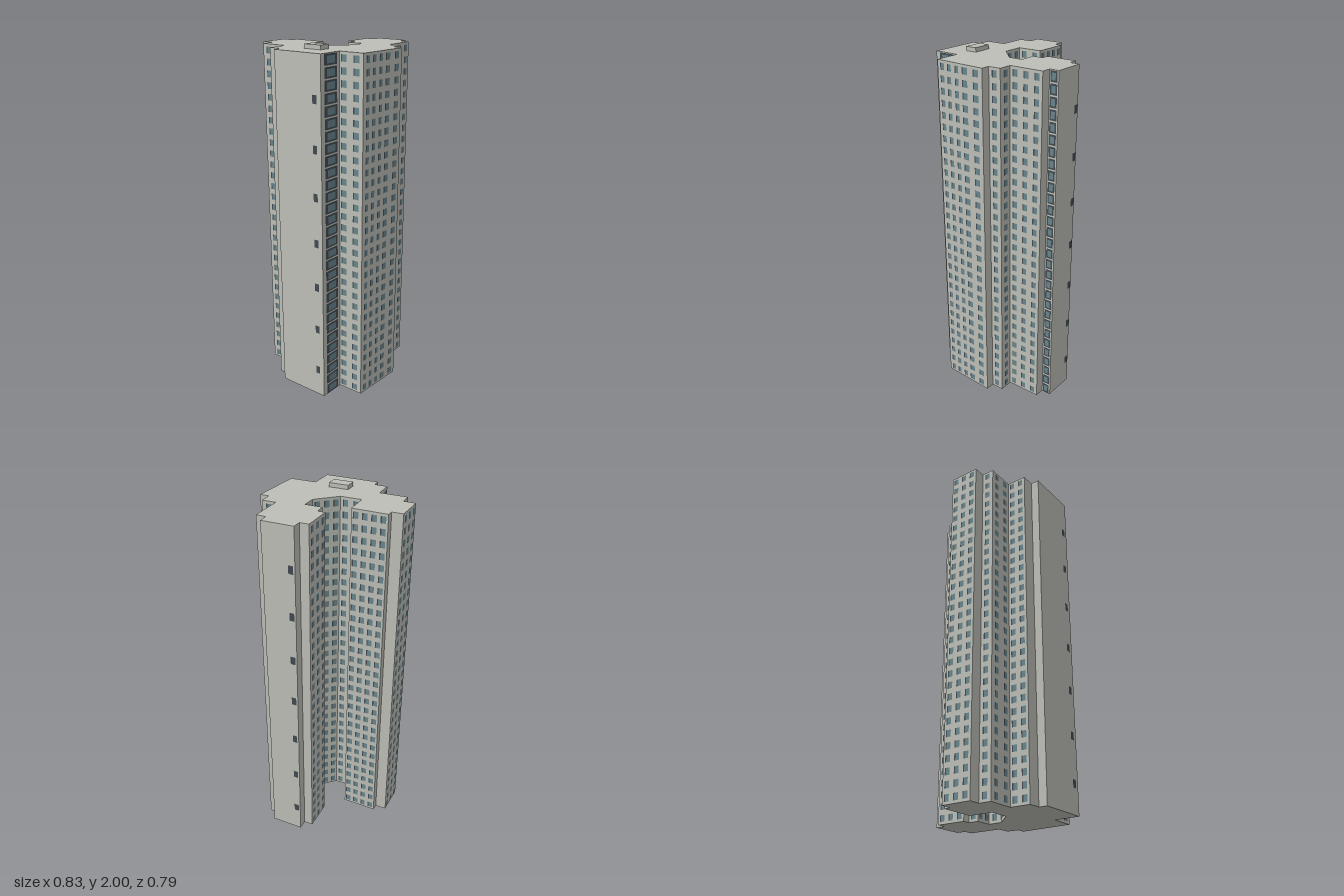
import * as THREE from 'three';
import { mergeGeometries } from 'three/addons/utils/BufferGeometryUtils.js';

const HEIGHT = 1.976, FLOORS = 30, STOREY = HEIGHT / FLOORS;

// Plan outline as [x, z] corners, clockwise seen from above
const PLAN = [
  [-0.236, -0.395], [-0.2, -0.343], [-0.168, -0.362], [-0.058, -0.192], [-0.175, -0.112],
  [-0.107, -0.01], [0.045, 0.022], [0.115, -0.023], [0.06, -0.107], [0.11, -0.141],
  [0.087, -0.178], [0.237, -0.277], [0.266, -0.234], [0.312, -0.264], [0.414, -0.11],
  [0.368, -0.079], [0.398, -0.031], [0.23, 0.081], [0.275, 0.148], [0.214, 0.189],
  [0.243, 0.233], [-0.032, 0.393], [-0.117, 0.267], [-0.243, 0.348], [-0.414, 0.088],
  [-0.374, 0.061], [-0.414, -0.003], [-0.318, -0.068], [-0.406, -0.202], [-0.347, -0.243],
  [-0.384, -0.3],
];

// Window columns per wall: wall index -> [position along wall 0..1, width]
const W = 0.03;
const evenly = (n) => Array.from({ length: n }, (_, i) => [(i + 0.5) / n, W]);
const WINDOWS = {
  2: evenly(4), 3: evenly(2), 4: evenly(2), 5: evenly(3), 6: evenly(1), 7: evenly(2),
  8: evenly(1), 10: evenly(3), 16: evenly(3), 17: evenly(1), 18: evenly(1),
  20: [[0.14, 0.036], [0.38, 0.036], [0.56, 0.026], [0.73, 0.026], [0.89, 0.026]],
  21: [[0.28, 0.036], [0.8, 0.036]], 26: evenly(2), 27: evenly(2), 28: evenly(1), 30: evenly(3),
};
// Glazed balcony strips: wall index -> [position, panel width, pane width]
const BALCONIES = { 14: [0.5, 0.042, 0.024], 22: [0.48, 0.102, 0.064] };
// Blank walls with one stair window every fourth floor
const STAIRS = { 13: 0.12, 23: 0.13 };

const material = (name, color) => {
  const m = new THREE.MeshStandardMaterial({ color });
  m.name = name;
  return m;
};

// Vertical extrusion of an [x, z] outline
function prism(points, height) {
  const shape = new THREE.Shape(points.map(([x, z]) => new THREE.Vector2(x, -z)));
  return new THREE.ExtrudeGeometry(shape, { depth: height, bevelEnabled: false }).rotateX(-Math.PI / 2);
}

// Flat plate lying on a wall; shift moves it sideways along the wall
function plate(wall, t, y, w, h, offset, shift = 0) {
  const [ax, az] = PLAN[wall], [bx, bz] = PLAN[(wall + 1) % PLAN.length];
  const len = Math.hypot(bx - ax, bz - az);
  const dx = (bx - ax) / len, dz = (bz - az) / len;
  const s = t * len + shift;
  return new THREE.PlaneGeometry(w, h)
    .rotateY(Math.atan2(dz, -dx))
    .translate(ax + dx * s + dz * offset, y, az + dz * s - dx * offset);
}

export function createModel() {
  const group = new THREE.Group();
  const concrete = material('concrete', 0xbcbeb6);
  const glass = material('window glass', 0x67848c);
  const dark = material('dark frame', 0x414a50);

  const add = (name, geometry, mat) => {
    const mesh = new THREE.Mesh(geometry, mat);
    mesh.name = name;
    group.add(mesh);
  };

  // Tower and roof hut
  add('tower', prism(PLAN, HEIGHT), concrete);
  const hut = prism([[-0.2, 0.06], [-0.136, 0.154], [-0.193, 0.192], [-0.256, 0.097]], 2 - HEIGHT);
  add('roofHut', hut.translate(0, HEIGHT, 0), concrete);

  const panes = [], jambs = [], balconyPanels = [], balconyPanes = [], stairWindows = [];
  for (let f = 0; f < FLOORS; f++) {
    const y = (f + 0.5) * STOREY;
    // Regular windows with a dark jamb along one side
    for (const [wall, columns] of Object.entries(WINDOWS)) {
      for (const [t, w] of columns) {
        panes.push(plate(+wall, t, y, w, 0.037, 0.002));
        jambs.push(plate(+wall, t, y, 0.007, 0.037, 0.003, w / 2 - 0.0035));
      }
    }
    // Balcony strips, with the floor slabs left showing between panels
    for (const [wall, [t, w, paneW]] of Object.entries(BALCONIES)) {
      balconyPanels.push(plate(+wall, t, y, w, STOREY - 0.008, 0.002));
      balconyPanes.push(plate(+wall, t, y, paneW, 0.038, 0.004));
    }
    if (f % 4 === 2) {
      for (const [wall, t] of Object.entries(STAIRS)) {
        stairWindows.push(plate(+wall, t, y, 0.028, 0.046, 0.003));
      }
    }
  }
  add('windowPanes', mergeGeometries(panes), glass);
  add('windowJambs', mergeGeometries(jambs), dark);
  add('balconyPanels', mergeGeometries(balconyPanels), dark);
  add('balconyPanes', mergeGeometries(balconyPanes), glass);
  add('stairWindows', mergeGeometries(stairWindows), dark);
  return group;
}
